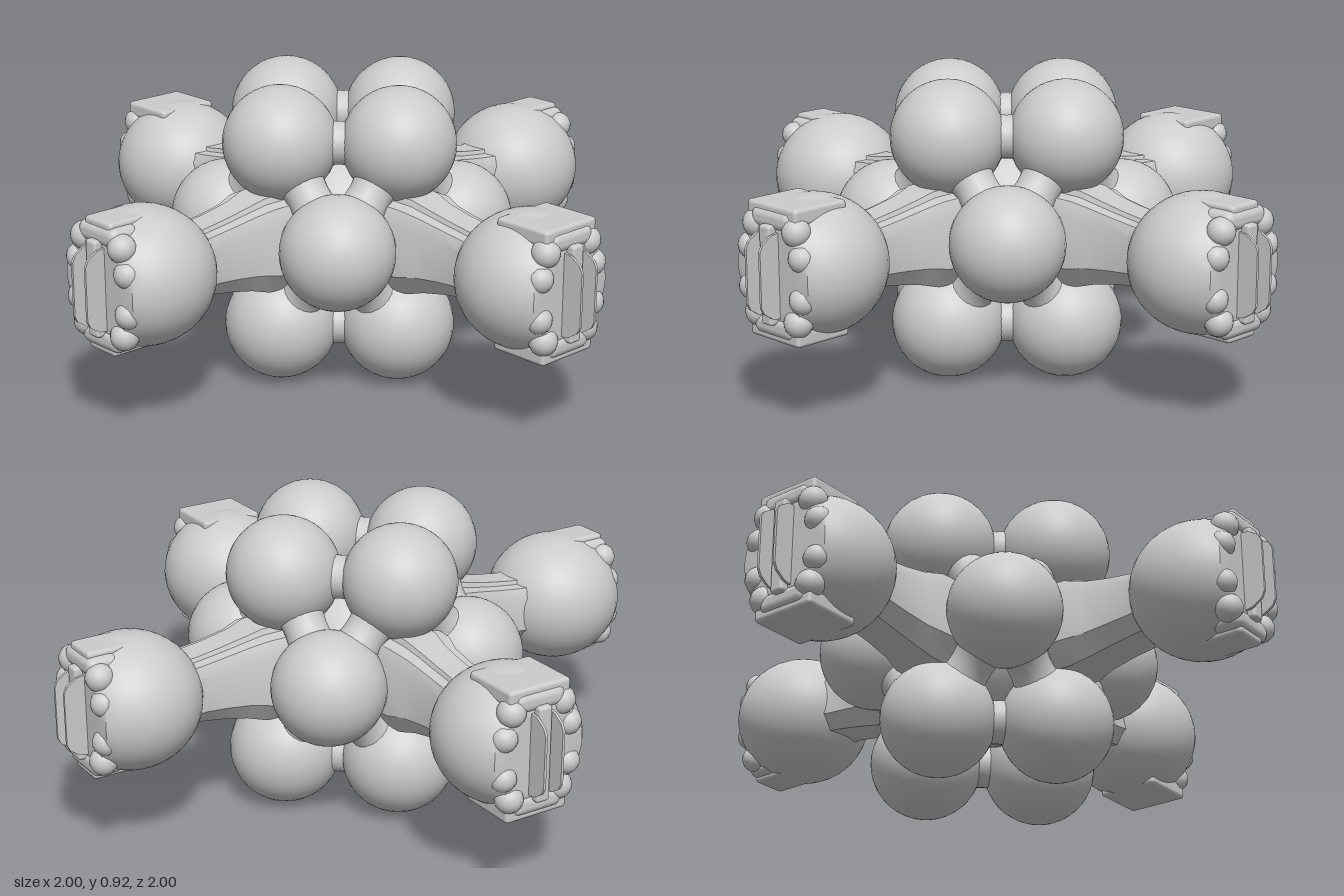
import * as THREE from 'three';
import { toCreasedNormals } from 'three/addons/utils/BufferGeometryUtils.js';
import { RoundedBoxGeometry } from 'three/addons/geometries/RoundedBoxGeometry.js';

const MID = 0.463, R = 0.173, OFF = 0.25, RISE = 0.285;
const mat = new THREE.MeshStandardMaterial({ color: 0xcccccc });
const matThin = new THREE.MeshStandardMaterial({ color: 0xcccccc, side: THREE.DoubleSide });

function add(parent, name, geometry, x = 0, y = 0, z = 0, material = mat) {
  const m = new THREE.Mesh(geometry, material);
  m.name = name;
  m.position.set(x, y, z);
  parent.add(m);
  return m;
}

// Concave fillet joining two neighbouring balls
function addNeck(parent, a, b) {
  const half = a.distanceTo(b) / 2;
  const profile = [];
  for (let i = -6; i <= 6; i++) {
    const t = i / 6;
    profile.push(new THREE.Vector2(0.065 + 0.055 * t * t, t * half * 0.72));
  }
  const m = add(parent, 'neck', new THREE.LatheGeometry(profile, 20));
  m.position.copy(a).add(b).multiplyScalar(0.5);
  m.quaternion.setFromUnitVectors(new THREE.Vector3(0, 1, 0), b.clone().sub(a).normalize());
}

// Tapered chamfered beam lofted along +x; each station is [x, half width, half height]
function armGeometry() {
  const stations = [[0.12, 0.13, 0.15], [0.36, 0.12, 0.145], [0.42, 0.1, 0.128],
    [0.5, 0.095, 0.112], [0.58, 0.095, 0.1], [0.64, 0.11, 0.1], [0.7, 0.13, 0.11]];
  const outline = [[1, -0.55], [1, 0.55], [0.85, 0.85], [0.5, 0.88], [0.45, 1],
    [-0.45, 1], [-0.5, 0.88], [-0.85, 0.85], [-1, 0.55], [-1, -0.55], [-0.6, -1], [0.6, -1]];
  const n = outline.length, pos = [], idx = [];
  for (const [x, w, h] of stations) for (const [u, v] of outline) pos.push(x, v * h, u * w);
  for (let s = 0; s < stations.length - 1; s++) {
    for (let i = 0; i < n; i++) {
      const a = s * n + i, b = s * n + (i + 1) % n;
      idx.push(a, a + n, b, b, a + n, b + n);
    }
  }
  const g = new THREE.BufferGeometry();
  g.setAttribute('position', new THREE.Float32BufferAttribute(pos, 3));
  g.setIndex(idx);
  return toCreasedNormals(g, 0.5);
}

// Ball with its outer end pressed flat
function podGeometry() {
  const g = new THREE.SphereGeometry(0.215, 40, 28);
  g.scale(1, 0.955, 1);
  const p = g.attributes.position;
  for (let i = 0; i < p.count; i++) p.setX(i, Math.min(p.getX(i), 0.155));
  g.computeVertexNormals();
  return toCreasedNormals(g, 0.6);
}

// Thin fin with clipped corners, in the x-y plane
function finGeometry() {
  const s = new THREE.Shape([[0.9, -0.13], [0.96, -0.12], [0.99, -0.1], [1, -0.08],
    [1, 0.08], [0.99, 0.1], [0.96, 0.12], [0.9, 0.13]].map(([x, y]) => new THREE.Vector2(x, y)));
  const g = new THREE.ExtrudeGeometry(s, { depth: 0.008, bevelEnabled: false });
  g.translate(0, 0, -0.004);
  return g;
}

// One arm with its pod and end clasp, pointing along +x
function makeBranch(capHalf) {
  const branch = new THREE.Group();
  add(branch, 'arm', armGeometry());
  add(branch, 'pod', podGeometry(), 0.78);
  add(branch, 'claspBar', new RoundedBoxGeometry(0.08, 0.29, 0.045, 2, 0.01), 0.92);
  for (const s of [-1, 1]) {
    // Caps above and below the pod
    add(branch, 'cap', new RoundedBoxGeometry(0.19, 0.05, capHalf * 2, 2, 0.012), 0.837, s * 0.174);
    add(branch, 'capLip', new RoundedBoxGeometry(0.1, 0.06, 0.17, 3, 0.025), 0.892, s * 0.155);
    add(branch, 'fin', finGeometry(), 0, 0, s * 0.03, matThin);
    // Rounded lugs around the clasp
    for (const t of [-1, 1]) {
      add(branch, 'lug', new THREE.SphereGeometry(0.042, 16, 12), 0.912, s * 0.13, t * 0.085);
      add(branch, 'sideLug', new THREE.SphereGeometry(0.04, 16, 12), 0.914, s * 0.06, t * 0.11);
    }
  }
  return branch;
}

export function createModel() {
  const model = new THREE.Group();
  model.name = 'ballCluster';

  // Twelve balls in three layers: cross, square, cross
  const centres = [];
  for (const s of [-1, 1]) {
    for (const layer of [-1, 1]) {
      centres.push(new THREE.Vector3(s * OFF, MID + layer * RISE, 0));
      centres.push(new THREE.Vector3(0, MID + layer * RISE, s * OFF));
      centres.push(new THREE.Vector3(s * OFF, MID, layer * OFF));
    }
  }
  const cluster = new THREE.Group();
  cluster.name = 'cluster';
  model.add(cluster);
  const ball = new THREE.SphereGeometry(R, 36, 24);
  for (const c of centres) add(cluster, 'ball', ball, c.x, c.y, c.z);
  add(cluster, 'core', new THREE.SphereGeometry(0.27, 32, 24), 0, MID, 0);

  // Fillets between every pair of touching balls
  centres.forEach((a, i) => centres.slice(i + 1).forEach((b) => {
    if (a.distanceTo(b) < 0.4) addNeck(cluster, a, b);
  }));

  // Four branches around the middle
  for (let k = 0; k < 4; k++) {
    const branch = makeBranch(k % 2 ? 0.06 : 0.105);
    branch.name = ['leftBranch', 'backBranch', 'rightBranch', 'frontBranch'][k];
    branch.position.y = MID;
    branch.rotation.y = k * Math.PI / 2;
    model.add(branch);
  }
  return model;
}
